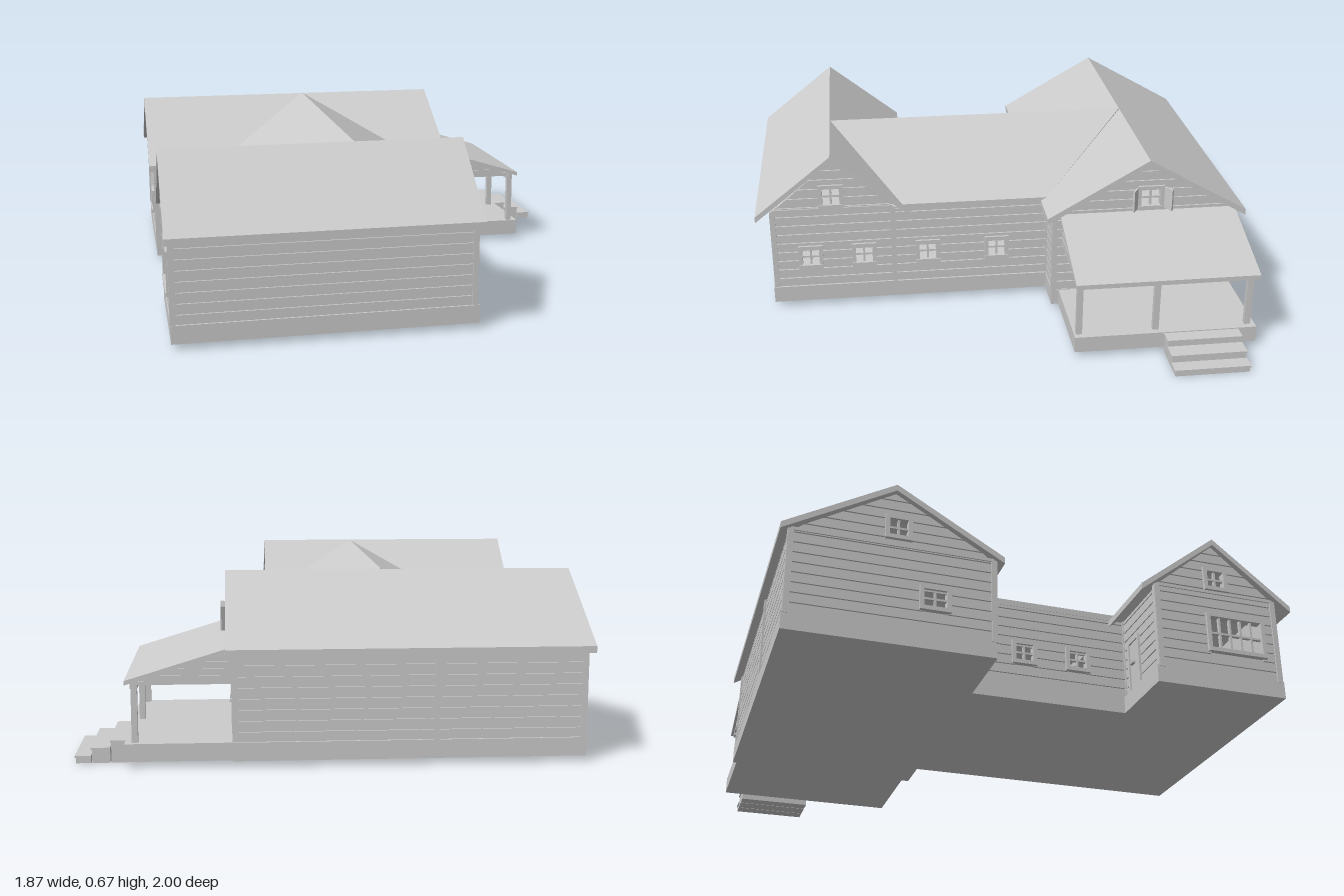
import * as THREE from 'three';

const mat = new THREE.MeshStandardMaterial({ color: 0xcccccc, flatShading: true, side: THREE.DoubleSide });

// Wall directions: rotation about y, and the sign from the world axis to the wall's own axis
const FACING = {
  front: [0, 1], right: [Math.PI / 2, -1], back: [Math.PI, -1], left: [-Math.PI / 2, 1],
};
const BASE = 0.09, ROW = 0.04, THICK = 0.012;

function add(parent, name, geometry) {
  const mesh = new THREE.Mesh(geometry, mat);
  mesh.name = name;
  parent.add(mesh);
  return mesh;
}

// Box given by its lower and upper limits on each axis
function box(parent, name, x0, x1, y0, y1, z0, z1) {
  const mesh = add(parent, name, new THREE.BoxGeometry(x1 - x0, y1 - y0, z1 - z0));
  mesh.position.set((x0 + x1) / 2, (y0 + y1) / 2, (z0 + z1) / 2);
  return mesh;
}

function extrude(parent, name, points, depth, z, holes = []) {
  const shape = new THREE.Shape(points.map(p => new THREE.Vector2(...p)));
  for (const h of holes) {
    shape.holes.push(new THREE.Path([[h.u0, h.y0], [h.u0, h.y1], [h.u1, h.y1], [h.u1, h.y0]]
      .map(p => new THREE.Vector2(...p))));
  }
  const mesh = add(parent, name, new THREE.ExtrudeGeometry(shape, { depth, bevelEnabled: false }));
  mesh.position.z = z;
  return mesh;
}

// Roof slab: a plan outline extruded upward, then each vertex lifted by the height rule
function roofSlab(parent, name, plan, height, t = 0.025) {
  const mesh = extrude(parent, name, plan.map(([x, z]) => [x, -z]), t, 0);
  const g = mesh.geometry;
  g.rotateX(-Math.PI / 2);
  const p = g.attributes.position;
  for (let i = 0; i < p.count; i++) p.setY(i, p.getY(i) - t + height(p.getX(i), p.getZ(i)));
  g.computeVertexNormals();
}

// Window frame with glazing bars around an open hole
function windowFrame(wall, h, d) {
  const w = 0.013, a = d - 0.014, b = d + 0.017;
  const g = new THREE.Group();
  g.name = 'window';
  wall.add(g);
  box(g, 'sill', h.u0 - w, h.u1 + w, h.y0 - w, h.y0 + 0.003, a, b + 0.004);
  box(g, 'head', h.u0 - w, h.u1 + w, h.y1 - 0.003, h.y1 + w, a, b);
  box(g, 'jamb', h.u0 - w, h.u0 + 0.003, h.y0, h.y1, a, b);
  box(g, 'jamb', h.u1 - 0.003, h.u1 + w, h.y0, h.y1, a, b);
  const n = Math.max(2, Math.round((h.u1 - h.u0) / 0.042));
  for (let i = 1; i < n; i++) {
    const u = h.u0 + (h.u1 - h.u0) * i / n;
    box(g, 'glazingBar', u - 0.004, u + 0.004, h.y0, h.y1, d - 0.005, d + 0.008);
  }
  const m = (h.y0 + h.y1) / 2;
  box(g, 'glazingBar', h.u0, h.u1, m - 0.004, m + 0.004, d - 0.005, d + 0.008);
}

// Panelled door with frame and handle
function door(wall, h, d) {
  const g = new THREE.Group();
  g.name = 'door';
  wall.add(g);
  box(g, 'doorLeaf', h.u0, h.u1, h.y0, h.y1, d - 0.005, d + 0.009);
  for (const u of [h.u0, h.u1]) box(g, 'doorJamb', u - 0.006, u + 0.006, h.y0, h.y1, d, d + 0.015);
  box(g, 'doorHead', h.u0 - 0.006, h.u1 + 0.006, h.y1, h.y1 + 0.012, d, d + 0.015);
  const u = h.u0 + 0.025, y = (h.y0 + h.y1) / 2 + 0.01;
  box(g, 'doorHandle', u, u + 0.028, y - 0.004, y + 0.004, d + 0.009, d + 0.022);
}

// Boarded wall from a to b along its axis, d outward, optionally rising to a gable peak.
// Openings are [centre, bottom, width, height, kind].
function wall(parent, name, facing, a, b, d, eave, peak, openings = []) {
  const [angle, s] = FACING[facing];
  const g = new THREE.Group();
  g.name = name;
  g.rotation.y = angle;
  parent.add(g);
  const u0 = Math.min(s * a, s * b), u1 = Math.max(s * a, s * b);
  const mid = (u0 + u1) / 2, half = (u1 - u0) / 2, top = peak || eave;
  const holes = openings.map(([c, y, w, h, kind]) =>
    ({ u0: s * c - w / 2, u1: s * c + w / 2, y0: y, y1: y + h, kind }));
  const outline = [[u0, BASE], [u1, BASE], [u1, eave]];
  if (peak) outline.push([mid, peak]);
  outline.push([u0, eave]);
  extrude(g, 'wallCore', outline, THICK, d - THICK, holes.filter(h => h.kind !== 'door'));

  // Boards, cut at the openings and narrowed under the gable
  const reach = y => y <= eave ? half : half * Math.max(0, (top - y) / (top - eave));
  for (let y = BASE; y < top - 0.01; y += ROW) {
    const y1 = Math.min(y + ROW - 0.005, top - 0.003);
    const cuts = holes.filter(h => h.y0 < y1 - 0.012 && h.y1 > y + 0.012).sort((p, q) => p.u0 - q.u0);
    const r0 = reach(y), r1 = reach(y1);
    let l0 = mid - r0, l1 = mid - r1;
    for (const c of [...cuts, null]) {
      const e0 = c ? c.u0 : mid + r0, e1 = c ? c.u0 : mid + r1;
      if (e0 > l0 && e1 >= l1) extrude(g, 'board', [[l0, y], [e0, y], [e1, y1], [l1, y1]], 0.007, d);
      if (c) l0 = l1 = c.u1;
    }
  }
  // Corner posts and the tie board below the gable
  for (const u of [u0, u1]) box(g, 'cornerPost', u - 0.01, u + 0.01, BASE - 0.005, eave, d - 0.01, d + 0.012);
  if (peak) box(g, 'tieBoard', u0, u1, eave - 0.006, eave + 0.006, d, d + 0.012);
  for (const h of holes) (h.kind === 'door' ? door : windowFrame)(g, h, d);
  return g;
}

export function createModel() {
  const house = new THREE.Group();
  house.name = 'house';

  // Foundations
  box(house, 'frontFoundation', -0.915, 0.205, 0.022, BASE, 0.42, 0.945);
  box(house, 'middleFoundation', -0.61, 0.205, 0.022, BASE, -0.2, 0.42);
  box(house, 'backFoundation', -0.915, 0.36, 0.022, BASE, -0.97, -0.2);
  box(house, 'porchFloor', 0.36, 0.745, 0.022, BASE - 0.003, -0.955, -0.23);

  // Front wing walls
  const W = 0.075, H = 0.075;
  wall(house, 'frontWall', 'front', -0.905, 0.19, 0.93, 0.425);
  wall(house, 'frontWingRightWall', 'right', 0.93, 0.44, 0.19, 0.435, 0.642,
    [[0.785, 0.185, W, H], [0.565, 0.185, W, H], [0.69, 0.455, W, H]]);
  wall(house, 'frontWingLeftWall', 'left', 0.93, 0.44, 0.905, 0.435, 0.642,
    [[0.76, 0.19, 0.22, 0.14], [0.69, 0.455, W, H]]);
  wall(house, 'frontWingRearWall', 'back', -0.905, -0.6, -0.44, 0.425, 0, [[-0.7, BASE, 0.09, 0.2, 'door']]);

  // Middle walls
  wall(house, 'middleRightWall', 'right', 0.44, -0.21, 0.19, 0.425, 0,
    [[0.3, 0.185, W, H], [0.01, 0.185, W, H]]);
  wall(house, 'middleLeftWall', 'left', 0.44, -0.21, 0.6, 0.425, 0,
    [[0.23, 0.185, W, H], [0.01, 0.185, W, H]]);

  // Back wing walls
  wall(house, 'backWall', 'back', -0.905, 0.35, 0.955, 0.42);
  box(house, 'backWallPost', -0.38, -0.36, BASE, 0.42, -0.97, -0.95);
  wall(house, 'backWingFrontLeftWall', 'front', -0.905, -0.6, -0.21, 0.42);
  wall(house, 'backWingFrontRightWall', 'front', 0.19, 0.35, -0.21, 0.42);
  const porchWall = wall(house, 'backWingRightWall', 'right', -0.21, -0.955, 0.35, 0.42, 0.638,
    [[-0.52, 0.185, 0.18, 0.085], [-0.765, BASE, 0.13, 0.19, 'door'], [-0.6, 0.455, 0.085, H]]);
  wall(house, 'backWingLeftWall', 'left', -0.21, -0.955, 0.905, 0.42, 0.638,
    [[-0.43, 0.185, 0.09, H], [-0.57, 0.455, W, H]]);

  // Open shutters on the porch gable window
  for (const k of [-1, 1]) {
    const shutter = box(porchWall, 'shutter', -0.021, 0.021, 0.447, 0.538, -0.004, 0.004);
    shutter.position.x = 0.6 + k * 0.069;
    shutter.position.z = 0.385;
    shutter.rotation.y = -k * 1.0;
  }

  // Roofs of the two wings: two slopes each
  for (const [name, x0, x1, ridge, half, top, eave] of [
    ['frontWingRoof', -0.93, 0.208, 0.685, 0.315, 0.668, 0.418],
    ['backWingRoof', -0.935, 0.385, -0.585, 0.41, 0.663, 0.428]]) {
    const height = (x, z) => top - (top - eave) * Math.abs(z - ridge) / half;
    for (const k of [-1, 1]) {
      const e = ridge + k * half;
      roofSlab(house, name, k > 0
        ? [[x0, ridge], [x0, e], [x1, e], [x1, ridge]]
        : [[x0, e], [x0, ridge], [x1, ridge], [x1, e]], height);
    }
  }

  // Middle roof, mitred into both wing roofs along the valleys
  const rx = -0.207, rHalf = 0.41;
  for (const k of [-1, 1]) {
    const e = rx + k * rHalf;
    roofSlab(house, 'middleRoof', [[rx, -0.583], [e, -0.2], [e, 0.4], [rx, 0.683]],
      x => 0.666 - 0.224 * Math.abs(x - rx) / rHalf);
  }

  // Porch: lean-to roof, beams, boarded ends and posts
  roofSlab(house, 'porchRoof', [[0.35, -0.955], [0.35, -0.23], [0.742, -0.23], [0.742, -0.955]],
    x => 0.435 - 0.12 * (x - 0.35) / 0.392, 0.016);
  box(house, 'porchBeam', 0.695, 0.722, 0.285, 0.308, -0.945, -0.24);
  for (const z of [-0.25, -0.935]) {
    extrude(house, 'porchEnd', [[0.36, 0.308], [0.72, 0.308], [0.36, 0.415]], 0.01, z - 0.005);
    for (let i = 0; i < 4; i++) {
      const y = 0.31 + i * 0.025;
      box(house, 'porchEndBoard', 0.36, 0.72 - 0.085 * (i + 0.8), y, y + 0.02, z - 0.01, z + 0.01);
    }
    box(house, 'porchSideBeam', 0.355, 0.72, 0.298, 0.312, z - 0.01, z + 0.01);
  }
  for (const z of [-0.25, -0.555, -0.925]) {
    box(house, 'porchPost', 0.698, 0.72, BASE - 0.003, 0.305, z - 0.012, z + 0.012);
  }

  // Porch steps
  [[0.745, 0.803, 0.083], [0.803, 0.872, 0.057], [0.872, 0.93, 0.028]].forEach(([x0, x1, y]) => {
    box(house, 'stepRiser', x0, x1 - 0.004, 0, y - 0.006, -0.878, -0.587);
    box(house, 'stepTread', x0, x1, y - 0.008, y, -0.882, -0.583);
  });

  return house;
}
